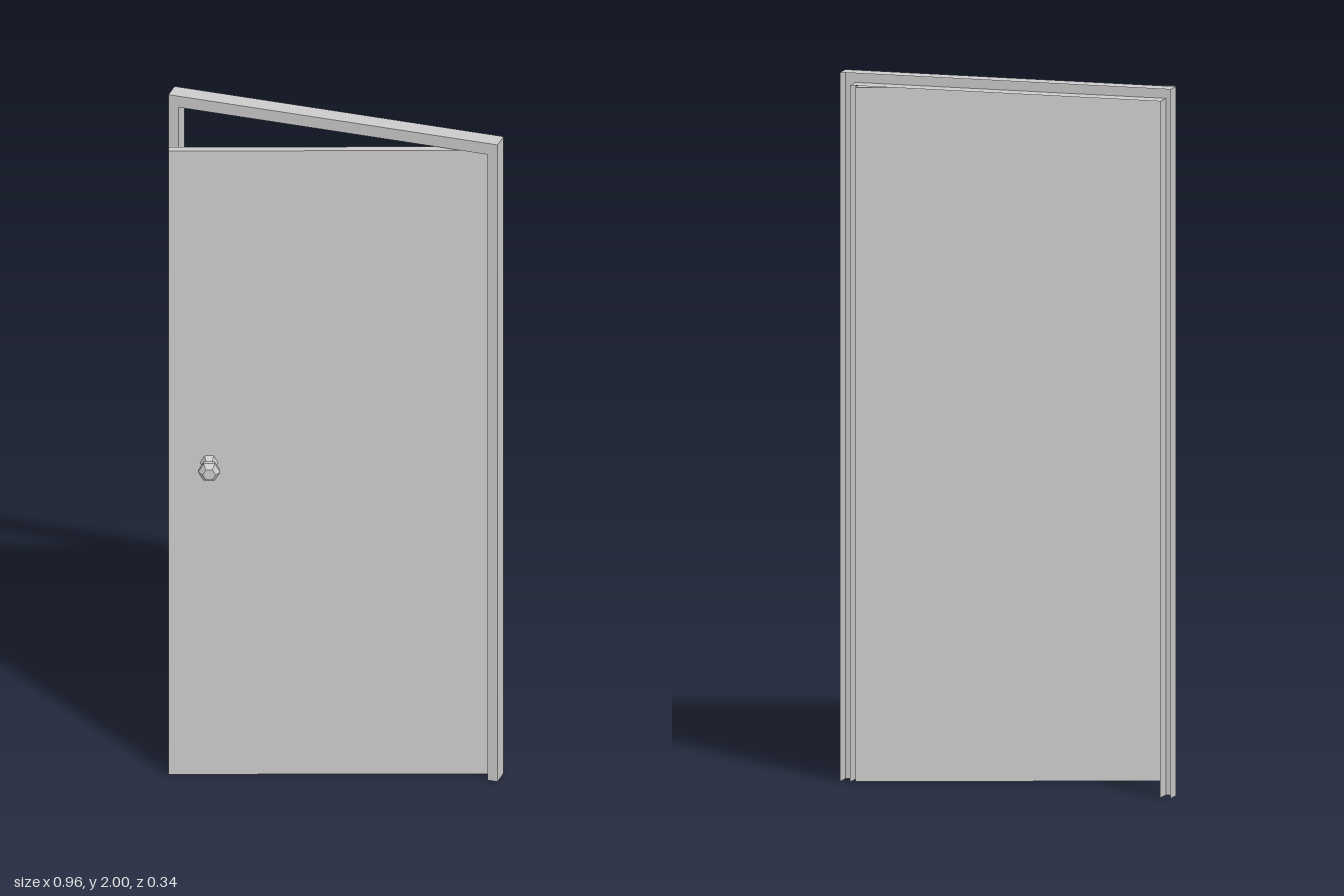
import * as THREE from 'three';

const grey = new THREE.MeshStandardMaterial({ color: 0xcccccc, flatShading: true });
const sheet = new THREE.MeshStandardMaterial({ color: 0xcccccc, flatShading: true, side: THREE.DoubleSide });

function add(parent, name, geometry, material) {
  const mesh = new THREE.Mesh(geometry, material);
  mesh.name = name;
  parent.add(mesh);
  return mesh;
}

// Casing folded from sheet: front face with returns, open at the back and at the feet
function createFrame() {
  const frame = new THREE.Group();
  frame.name = 'doorFrame';
  const zFront = -0.113, depth = 0.053, zMid = zFront - depth / 2;
  const outer = { x: 0.482, top: 2 }, inner = { x: 0.452, top: 1.965 };

  const face = new THREE.Shape([
    [-outer.x, 0], [-outer.x, outer.top], [outer.x, outer.top], [outer.x, 0],
    [inner.x, 0], [inner.x, inner.top], [-inner.x, inner.top], [-inner.x, 0],
  ].map(([x, y]) => new THREE.Vector2(x, y)));
  add(frame, 'frameFace', new THREE.ShapeGeometry(face), sheet).position.z = zFront;

  for (const [label, { x, top }, flip] of [['outer', outer, 1], ['inner', inner, -1]]) {
    for (const side of [-1, 1]) {
      const jamb = add(frame, label + 'JambWall', new THREE.PlaneGeometry(depth, top), sheet);
      jamb.rotation.y = side * flip * Math.PI / 2;
      jamb.position.set(side * x, top / 2, zMid);
    }
    const head = add(frame, label + 'HeadWall', new THREE.PlaneGeometry(2 * x, depth), sheet);
    head.rotation.x = -flip * Math.PI / 2;
    head.position.set(0, top, zMid);
  }
  return frame;
}

// Door leaf swung open about its hinge edge, carrying the knob
function createDoor() {
  const door = new THREE.Group();
  door.name = 'door';
  const width = 0.889, height = 1.958, thickness = 0.0235;

  const leaf = add(door, 'doorLeaf', new THREE.BoxGeometry(width, height, thickness), grey);
  leaf.position.set(-width / 2, height / 2 + 0.002, -thickness / 2);

  // Six-sided knob: flared foot, narrow neck, faceted grip
  const profile = [
    [0.025, 0], [0.016, 0.028], [0.03, 0.042], [0.031, 0.057], [0.018, 0.074], [0, 0.074],
  ].map(([r, y]) => new THREE.Vector2(r, y));
  const knob = add(door, 'knob', new THREE.LatheGeometry(profile, 6, Math.PI / 2), grey);
  knob.rotation.x = Math.PI / 2;
  knob.position.set(-0.776, 0.981, 0);

  door.position.set(0.443, 0, -0.146);
  door.rotation.y = 0.322;
  return door;
}

export function createModel() {
  const model = new THREE.Group();
  model.name = 'openDoor';
  model.add(createFrame(), createDoor());
  return model;
}
